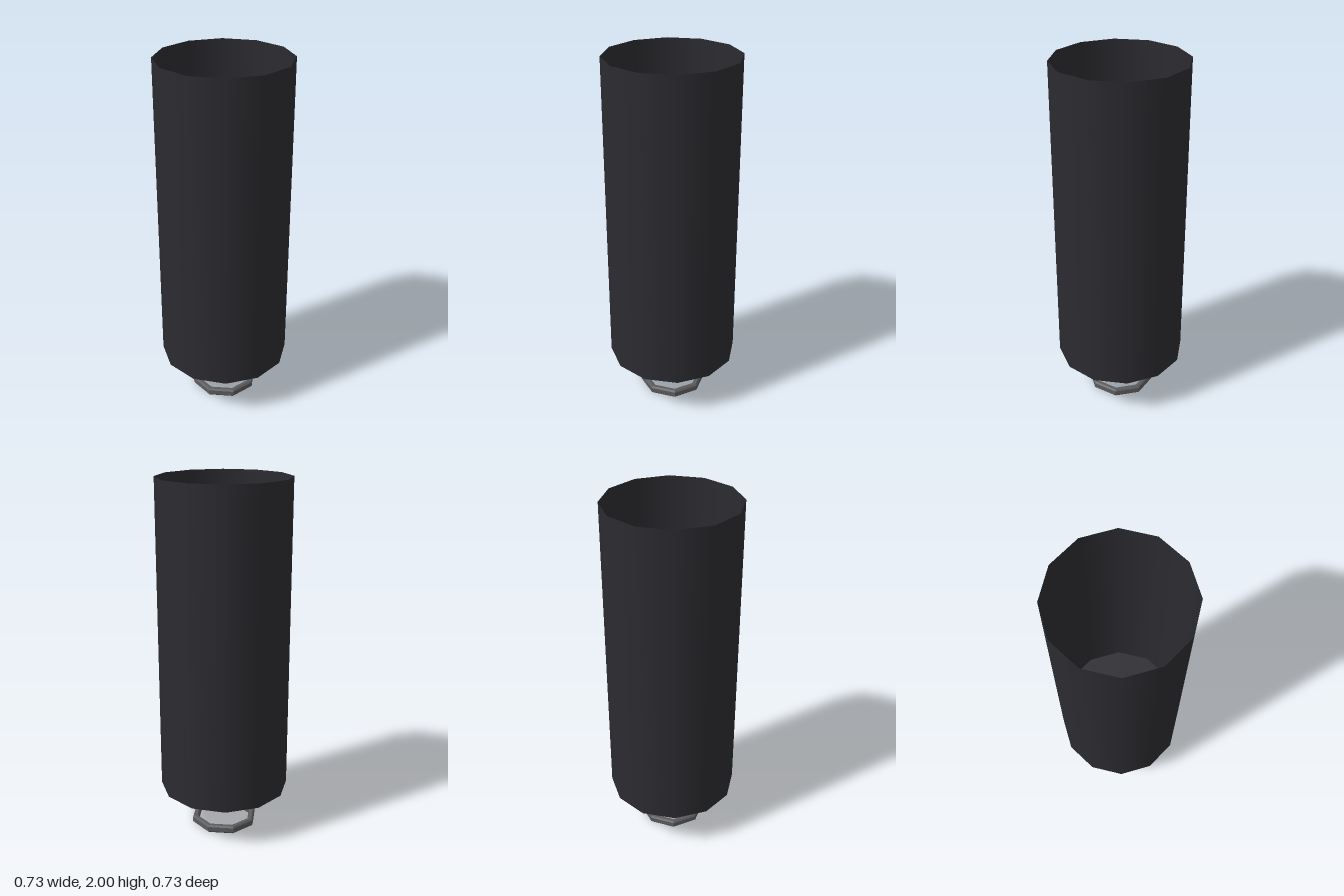
import * as THREE from 'three';

const material = (color, flatShading = false) =>
  new THREE.MeshStandardMaterial({ color, flatShading, side: THREE.DoubleSide });

// Revolve a short profile of [radius, height] pairs
function revolve(name, profile, sides, mat) {
  const points = profile.map(([r, y]) => new THREE.Vector2(r, y));
  const mesh = new THREE.Mesh(new THREE.LatheGeometry(points, sides), mat);
  mesh.name = name;
  return mesh;
}

export function createModel() {
  const group = new THREE.Group();
  group.name = 'rocketStage';
  const dark = material(0x2c2b30);

  // Open-ended outer tube, a single thin wall
  const body = revolve('bodyTube', [[0.364, 0.245], [0.362, 2]], 12, dark);

  // Closed bulkhead inside the tube that carries the nozzle
  const bulkhead = new THREE.Mesh(new THREE.CylinderGeometry(0.352, 0.362, 0.03, 12), dark);
  bulkhead.name = 'bulkhead';
  bulkhead.position.y = 0.505;

  // Flared nozzle, open at the bottom
  const nozzle = revolve('nozzle',
    [[0.157, 0.18], [0.144, 0.25], [0.098, 0.4], [0.075, 0.49]], 8, material(0x8f5a2a, true));

  // Loose ring below the nozzle, with bevelled edges
  const ring = revolve('lowerRing', [
    [0.163, 0], [0.182, 0], [0.19, 0.009], [0.19, 0.036], [0.182, 0.045],
    [0.163, 0.045], [0.155, 0.036], [0.155, 0.009], [0.163, 0],
  ], 8, material(0x5c5c5e, true));

  group.add(body, bulkhead, nozzle, ring);
  return group;
}
